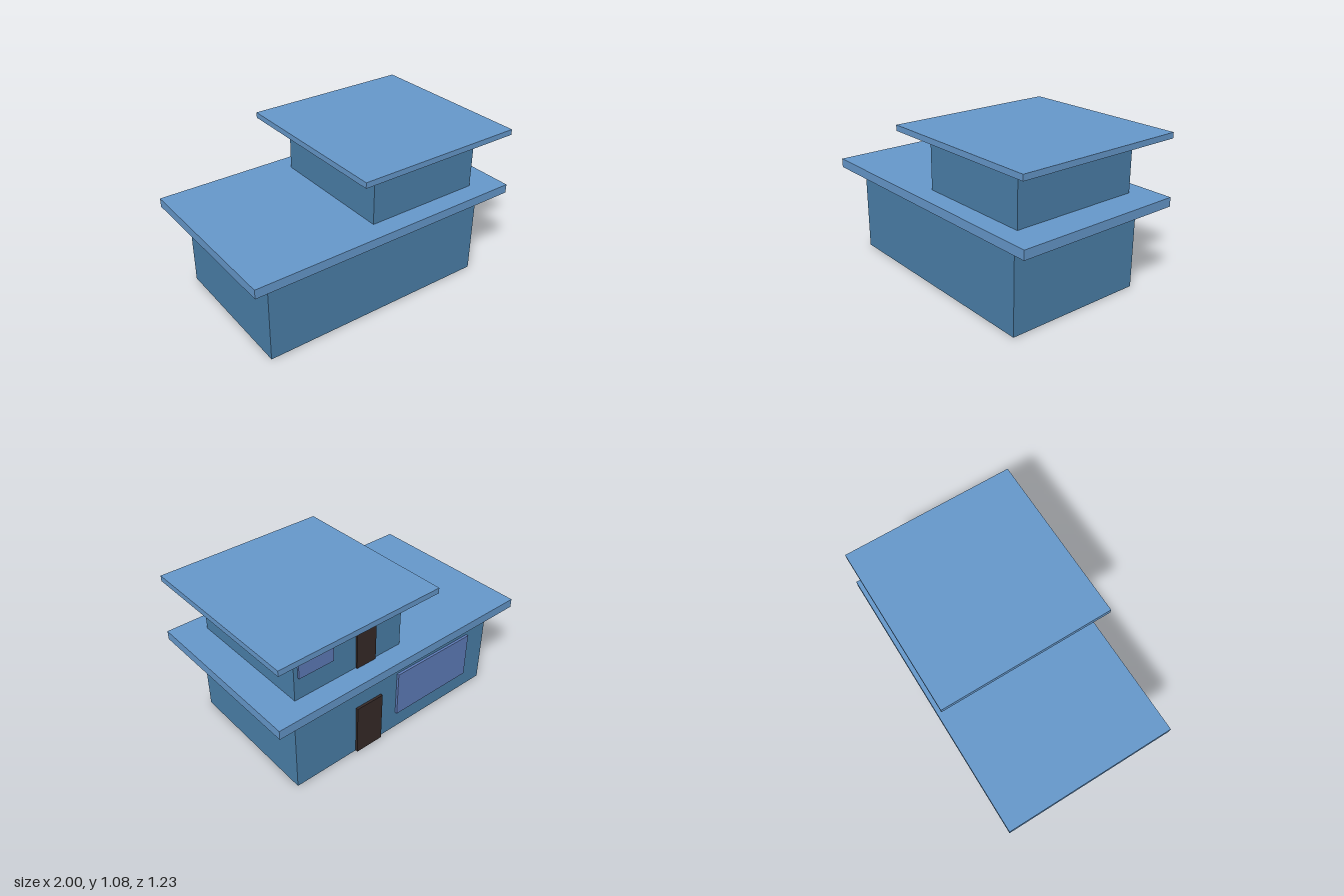
import * as THREE from 'three';

const material = (color) => new THREE.MeshStandardMaterial({ color, flatShading: true });

export function createModel() {
  const model = new THREE.Group();
  model.name = 'twoStoreyHouse';

  const wall = material(0x4b80aa);
  const roof = material(0x6699cc);
  const glass = material(0x5f7dbb);
  const wood = material(0x362a28);

  // Box given by its extents along x, y and z
  const box = (parent, name, mat, [x0, x1], [y0, y1], [z0, z1]) => {
    const mesh = new THREE.Mesh(new THREE.BoxGeometry(x1 - x0, y1 - y0, z1 - z0), mat);
    mesh.position.set((x0 + x1) / 2, (y0 + y1) / 2, (z0 + z1) / 2);
    mesh.name = name;
    parent.add(mesh);
    return mesh;
  };

  // Ground floor, with its door and window on the back wall
  const lower = new THREE.Group();
  lower.name = 'groundFloor';
  box(lower, 'lowerWalls', wall, [-0.85, 0.81], [0, 0.59], [-0.508, 0.508]);
  box(lower, 'lowerDoor', wood, [0.125, 0.335], [0, 0.373], [-0.525, -0.5]);
  box(lower, 'lowerWindow', glass, [-0.67, -0.013], [0.13, 0.465], [-0.525, -0.5]);
  model.add(lower);

  // Wide flat roof, turned very slightly and floating just above the walls
  const turn = 0.0075;
  const lowerRoof = box(model, 'lowerRoof', roof, [-0.995, 0.995], [0.6, 0.663], [-0.609, 0.609]);
  lowerRoof.rotation.y = turn;

  // Upper floor with the same slight turn, placed around its own centre
  const upper = new THREE.Group();
  upper.name = 'upperFloor';
  upper.position.set(0.362, 0, -0.001);
  upper.rotation.y = turn;
  box(upper, 'upperWalls', wall, [-0.417, 0.417], [0.663, 1.031], [-0.469, 0.469]);
  box(upper, 'upperDoor', wood, [-0.202, -0.05], [0.663, 0.93], [-0.482, -0.46]);
  box(upper, 'upperWindow', glass, [0.13, 0.388], [0.82, 0.95], [-0.482, -0.46]);
  model.add(upper);

  // Upper flat roof
  const upperRoof = box(model, 'upperRoof', roof, [-0.23, 0.976], [1.042, 1.081], [-0.61, 0.605]);
  upperRoof.rotation.y = turn;

  return model;
}
